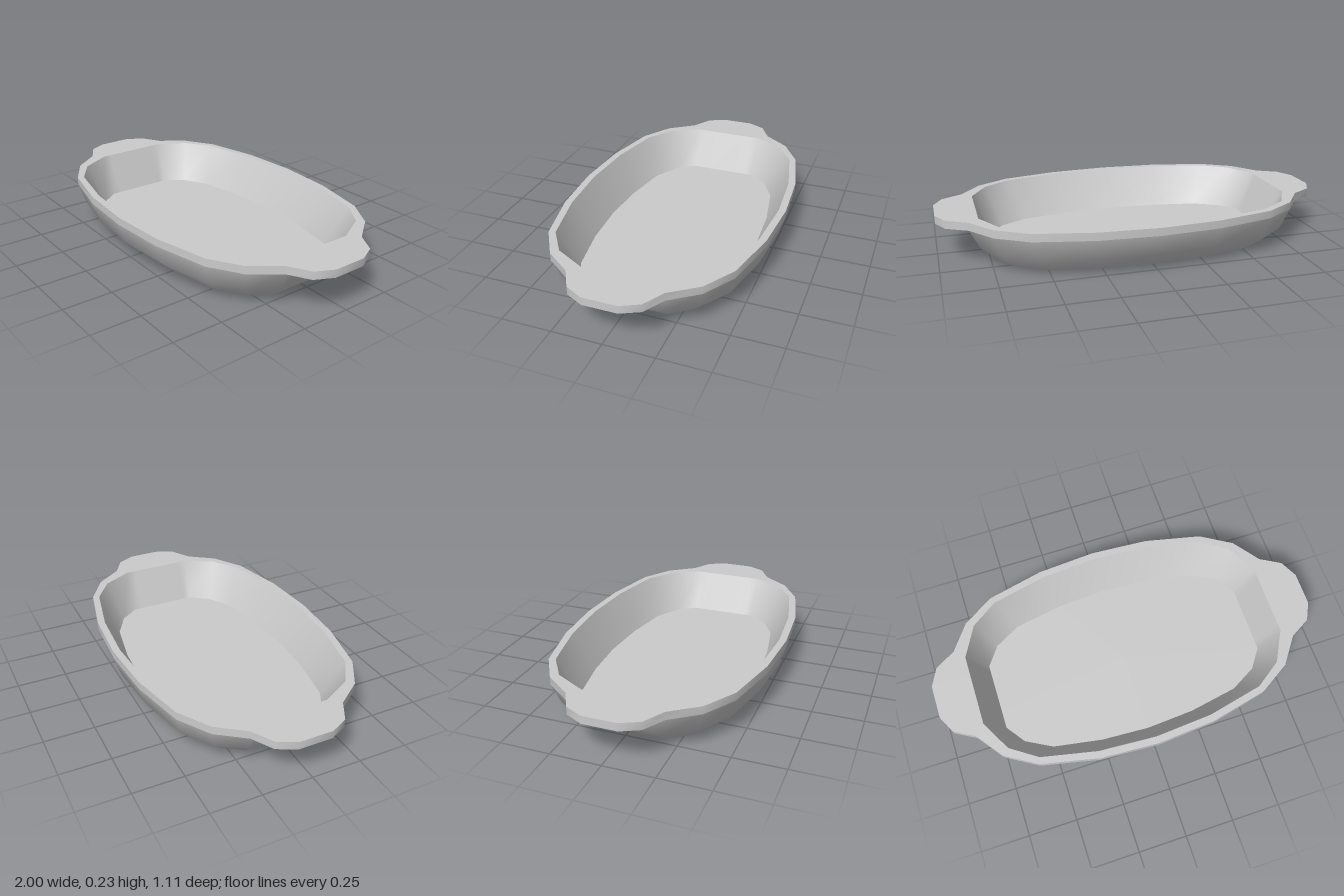
import * as THREE from 'three';
import { toCreasedNormals } from 'three/addons/utils/BufferGeometryUtils.js';

// Mirrors a quarter outline of [x, z] points (+x round to +z) into a closed ring at height y.
function ring(y, quarter) {
  const back = quarter.slice(0, -1).reverse();
  const half = [...quarter, ...back.map(([x, z]) => [-x, z])];
  const all = [...half, ...half.map(([x, z]) => [-x, -z])];
  return all.map(([x, z]) => new THREE.Vector3(x, y, z));
}

// Skins consecutive rings, leaving out collapsed triangles.
function loft(name, rings, material) {
  const pos = [];
  const tri = (a, b, c) => {
    if (new THREE.Triangle(a, b, c).getArea() > 1e-7) {
      for (const p of [a, b, c]) pos.push(p.x, p.y, p.z);
    }
  };
  for (let r = 0; r < rings.length - 1; r++) {
    const lo = rings[r], hi = rings[r + 1];
    for (let i = 0; i < lo.length; i++) {
      const j = (i + 1) % lo.length;
      tri(lo[i], hi[i], lo[j]);
      tri(hi[i], hi[j], lo[j]);
    }
  }
  const geo = new THREE.BufferGeometry();
  geo.setAttribute('position', new THREE.Float32BufferAttribute(pos, 3));
  const mesh = new THREE.Mesh(toCreasedNormals(geo, 0.68), material);
  mesh.name = name;
  return mesh;
}

export function createModel() {
  const material = new THREE.MeshStandardMaterial({ color: 0xcccccc });
  const rimY = 0.23, lipY = 0.19, floorY = 0.02;

  // Quarter outlines
  const side = [[0.75, 0.37], [0.59, 0.468], [0.3, 0.533], [0, 0.553]];
  const outline = [[1, 0.085], [0.955, 0.175], [0.85, 0.235], ...side];
  const wallTop = [[0.85, 0.085], [0.85, 0.17], [0.85, 0.235], ...side];
  const wallMid = [[0.8, 0.085], [0.8, 0.15], [0.8, 0.205], [0.715, 0.34], [0.565, 0.438], [0.285, 0.5], [0, 0.52]];
  const base = [[0.71, 0.085], [0.71, 0.14], [0.71, 0.185], [0.64, 0.28], [0.505, 0.36], [0.25, 0.408], [0, 0.424]];
  const opening = [[0.8, 0.085], [0.8, 0.14], [0.8, 0.185], [0.715, 0.342], [0.58, 0.435], [0.295, 0.497], [0, 0.517]];
  const floor = [[0.712, 0.085], [0.712, 0.14], [0.712, 0.18], [0.64, 0.28], [0.505, 0.355], [0.25, 0.4], [0, 0.415]];
  const centre = floor.map(() => [0, 0]);

  const group = new THREE.Group();
  group.name = 'ovalBakingDish';
  group.add(
    // Flat base and the two-step flared wall
    loft('outerShell', [ring(0, centre), ring(0, base), ring(0.085, wallMid), ring(lipY, wallTop)], material),
    // Lip with a handle at each end
    loft('rimAndHandles', [ring(lipY, wallTop), ring(lipY, outline), ring(rimY, outline), ring(rimY, opening)], material),
    // Sloping inner wall and floor
    loft('basin', [ring(rimY, opening), ring(floorY, floor), ring(floorY, centre)], material),
  );
  return group;
}
